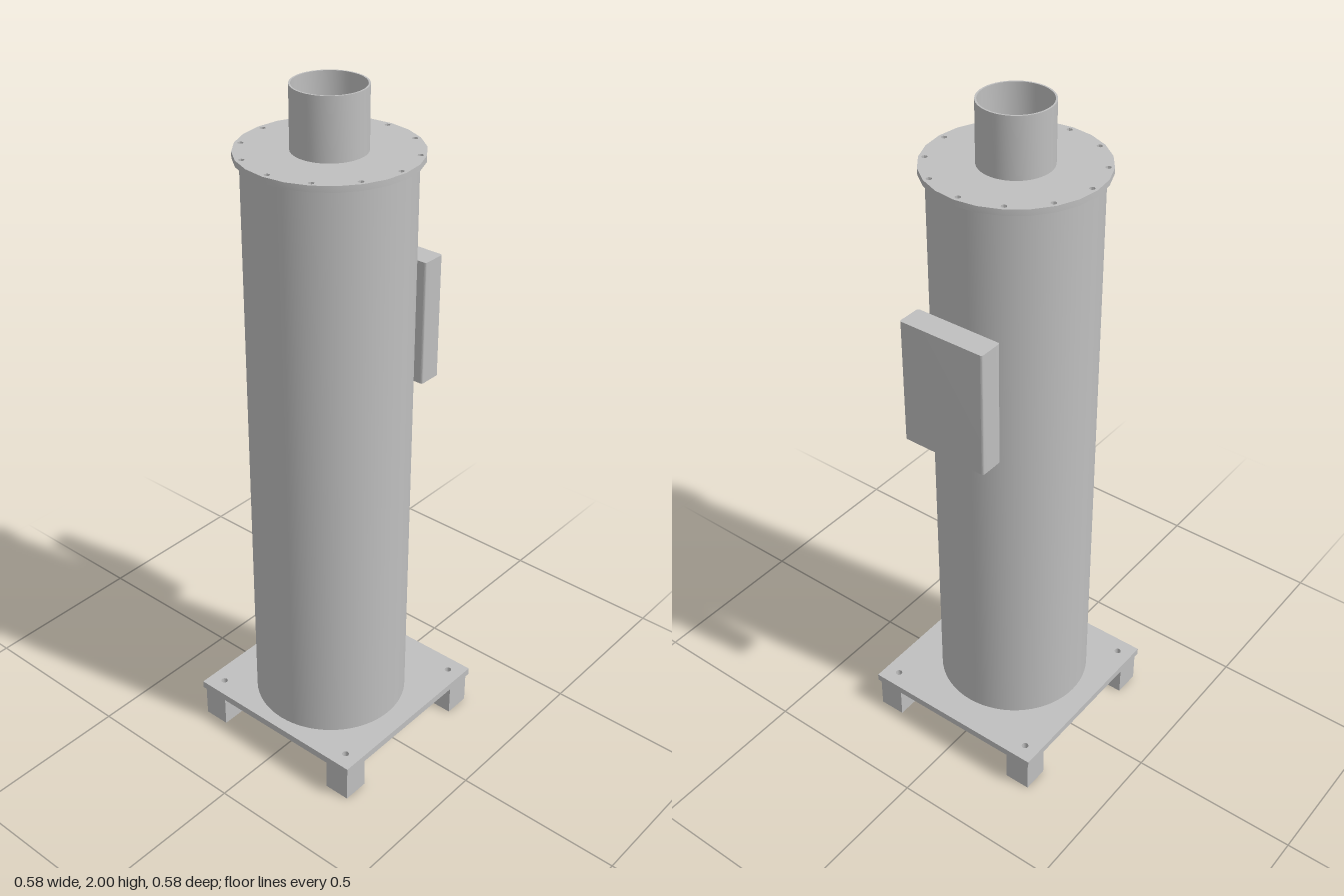
import * as THREE from 'three';
import { toCreasedNormals } from 'three/addons/utils/BufferGeometryUtils.js';

const AXIS_X = -0.027; // the column stands slightly off the plate's centre

const circlePoints = (x, y, r, sides) =>
  Array.from({ length: sides }, (_, i) => {
    const a = (i / sides) * Math.PI * 2;
    return new THREE.Vector2(x + r * Math.cos(a), y + r * Math.sin(a));
  });

const circlePath = (x, y, r, sides) => new THREE.Path(circlePoints(x, y, r, sides));

// Extrudes a horizontal outline upwards from y0 to y1
function slab(points, holes, y0, y1) {
  const shape = new THREE.Shape(points);
  shape.holes.push(...holes);
  const geometry = new THREE.ExtrudeGeometry(shape, { depth: y1 - y0, bevelEnabled: false });
  geometry.rotateX(-Math.PI / 2).translate(0, y0, 0);
  return toCreasedNormals(geometry, 0.5);
}

const tube = (outer, inner, sides, y0, y1) =>
  slab(circlePoints(0, 0, outer, sides), [circlePath(0, 0, inner, sides)], y0, y1);

function roundedRect(w, h, r) {
  const points = [];
  const corners = [[1, 1], [-1, 1], [-1, -1], [1, -1]];
  corners.forEach(([sx, sy], c) => {
    for (let i = 0; i <= 4; i++) {
      const a = (c + i / 4) * Math.PI / 2;
      points.push(new THREE.Vector2(
        sx * (w / 2 - r) + r * Math.cos(a),
        sy * (h / 2 - r) + r * Math.sin(a)));
    }
  });
  return points;
}

export function createModel() {
  const model = new THREE.Group();
  model.name = 'filterColumn';
  const steel = new THREE.MeshStandardMaterial({ color: 0xbfbfbf });
  steel.name = 'grey steel';

  const add = (name, geometry, x = 0, y = 0, z = 0) => {
    const mesh = new THREE.Mesh(geometry, steel);
    mesh.name = name;
    mesh.position.set(x, y, z);
    model.add(mesh);
  };

  // Base plate with a bolt hole above each foot
  const corners = [[1, 1], [-1, 1], [-1, -1], [1, -1]];
  const plate = corners.map(([x, y]) => new THREE.Vector2(0.29 * x, 0.29 * y));
  const plateHoles = corners.map(([x, y]) => circlePath(0.244 * x, 0.244 * y, 0.01, 16));
  add('basePlate', slab(plate, plateHoles, 0.1, 0.122));

  // Square feet
  const foot = new THREE.BoxGeometry(0.079, 0.1, 0.079);
  for (const [x, z] of corners) add('foot', foot, 0.244 * x, 0.05, 0.244 * z);

  // Hollow column
  add('column', tube(0.225, 0.218, 64, 0.122, 1.815), AXIS_X);

  // Top flange with a ring of twelve bolt holes
  const flangeHoles = [circlePath(0, 0, 0.095, 48)];
  for (let i = 0; i < 12; i++) {
    const a = (i / 12) * Math.PI * 2;
    flangeHoles.push(circlePath(0.227 * Math.cos(a), 0.227 * Math.sin(a), 0.008, 8));
  }
  add('topFlange', slab(circlePoints(0, 0, 0.243, 24), flangeHoles, 1.815, 1.832), AXIS_X);

  // Open outlet pipe
  add('outletPipe', tube(0.1, 0.095, 48, 1.832, 2), AXIS_X);

  // Control box beside the column
  add('controlBox', slab(roundedRect(0.072, 0.262, 0.006), [], 1.11, 1.478), 0.246);

  return model;
}
